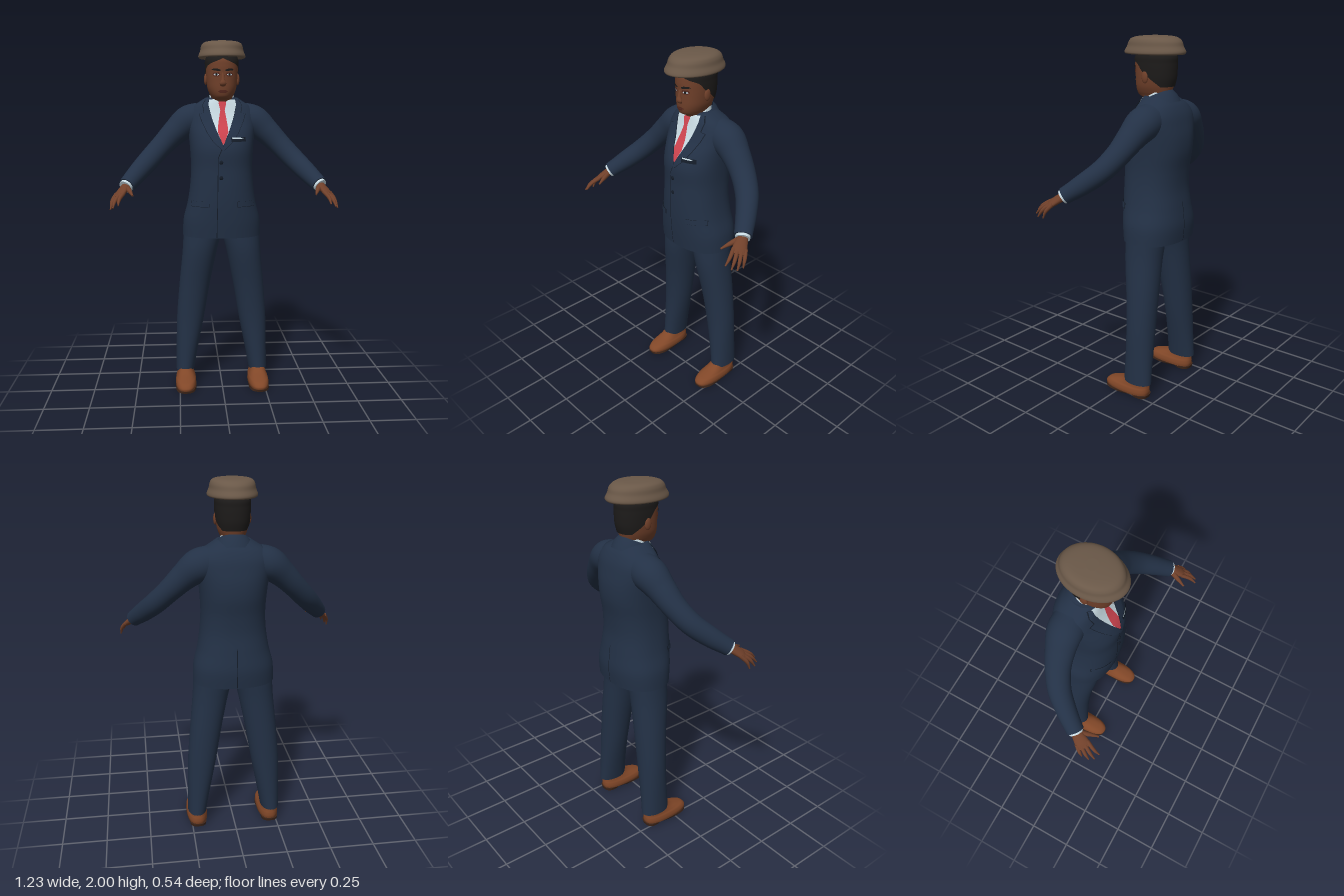
import * as THREE from 'three';

const V = (x, y, z) => new THREE.Vector3(x, y, z);
const mat = (name, color) => {
  const m = new THREE.MeshStandardMaterial({ color, side: THREE.DoubleSide });
  m.name = name;
  return m;
};

// Smooth interpolation through rows of numbers, t from 0 to 1
function sample(rows, t) {
  const k = rows.length - 1, f = Math.min(Math.max(t, 0), 1) * k;
  const i = Math.min(Math.floor(f), k - 1), w = f - i;
  const at = j => rows[Math.min(Math.max(j, 0), k)];
  return rows[0].map((_, c) => {
    const [a, b, d, e] = [at(i - 1)[c], at(i)[c], at(i + 1)[c], at(i + 2)[c]];
    return b + 0.5 * w * (d - a + w * (2 * a - 5 * b + 4 * d - e + w * (3 * (b - d) + e - a)));
  });
}

// Skin over rings { c, u, v }; half(t) limits the skin to an arc around the back
function loft(rings, n = 40, power = 2, half = null) {
  const pos = [], idx = [], last = rings.length - 1, cols = half ? n + 1 : n;
  const spow = a => Math.sign(a) * Math.pow(Math.abs(a), 2 / power);
  const flip = rings[last].c.clone().sub(rings[0].c).dot(rings[0].v.clone().cross(rings[0].u)) < 0;
  const tri = (a, b, c) => flip ? idx.push(a, c, b) : idx.push(a, b, c);
  const addRing = j => {
    const { c, u, v } = rings[j];
    for (let i = 0; i < cols; i++) {
      const a = half ? -Math.PI / 2 + half(j / last) * (2 * i / n - 1) : 2 * Math.PI * i / n;
      const p = c.clone().addScaledVector(u, spow(Math.cos(a))).addScaledVector(v, spow(Math.sin(a)));
      pos.push(p.x, p.y, p.z);
    }
  };
  rings.forEach((_, j) => addRing(j));
  for (let j = 0; j < last; j++) for (let i = 0; i < n; i++) {
    const a = j * cols + i, b = j * cols + (i + 1) % cols;
    tri(a, a + cols, b);
    tri(b, a + cols, b + cols);
  }
  if (!half) for (const j of [0, last]) {
    const base = pos.length / 3, { c } = rings[j];
    addRing(j);
    pos.push(c.x, c.y, c.z);
    for (let i = 0; i < n; i++) {
      const a = base + i, b = base + (i + 1) % n;
      j ? tri(a, base + n, b) : tri(a, b, base + n);
    }
  }
  return geometry(pos, idx);
}

function geometry(pos, idx) {
  const g = new THREE.BufferGeometry();
  g.setAttribute('position', new THREE.Float32BufferAttribute(pos, 3));
  g.setIndex(idx);
  g.computeVertexNormals();
  return g;
}

// Upright form from rows [y, centre x, half width, front z, back z]
function stack(rows, power = 2.2, steps = 6, half = null) {
  const rings = [], count = (rows.length - 1) * steps;
  for (let j = 0; j <= count; j++) {
    const [y, x, rx, zf, zb] = sample(rows, j / count);
    rings.push({ c: V(x, y, (zf + zb) / 2), u: V(rx, 0, 0), v: V(0, 0, (zf - zb) / 2) });
  }
  return loft(rings, 48, power, half);
}

// Limb along points with rows [radius along ref, radius across]
function limb(pts, radii, ref, n = 24, steps = 24) {
  const curve = new THREE.CatmullRomCurve3(pts), rings = [];
  for (let j = 0; j <= steps; j++) {
    const t = j / steps, dir = curve.getTangent(t), [a, b] = sample(radii, t);
    const u = ref.clone().addScaledVector(dir, -ref.dot(dir)).normalize();
    rings.push({ c: curve.getPoint(t), u: u.clone().multiplyScalar(a), v: dir.clone().cross(u).multiplyScalar(b) });
  }
  return loft(rings, n);
}

// Depth of a stacked form's front (side 1) or back (side -1) at x, y
function surfaceZ(rows, power, x, y, side) {
  let lo = 0, hi = 1;
  for (let i = 0; i < 30; i++) {
    const m = (lo + hi) / 2;
    sample(rows, m)[0] < y ? lo = m : hi = m;
  }
  const [, cx, rx, zf, zb] = sample(rows, lo);
  const k = Math.min(Math.abs(x - cx) / rx, 0.99);
  return (zf + zb) / 2 + side * (zf - zb) / 2 * Math.pow(1 - Math.pow(k, power), 1 / power);
}

// Thin piece draped over a stacked form, outline rows [y, x from, x to]
function drape(rows, form, power, offset, side = 1) {
  const pos = [], idx = [], steps = 8, across = 8, count = (rows.length - 1) * steps;
  for (let j = 0; j <= count; j++) {
    const k = Math.min(Math.floor(j / steps), rows.length - 2), w = j / steps - k;
    const [y, a, b] = rows[k].map((q, c) => q + (rows[k + 1][c] - q) * w);
    for (let i = 0; i <= across; i++) {
      const x = a + (b - a) * i / across, p = j * (across + 1) + i;
      pos.push(x, y, surfaceZ(form, power, x, y, side) + side * offset);
      if (j < count && i < across) idx.push(p, p + 1, p + across + 1, p + 1, p + across + 2, p + across + 1);
    }
  }
  return geometry(pos, idx);
}

const JACKET = [
  [0.905, 0, 0.225, 0.06, -0.262], [1.0, 0, 0.22, 0.072, -0.27], [1.1, 0, 0.196, 0.08, -0.26],
  [1.2, 0, 0.181, 0.082, -0.25], [1.3, 0, 0.175, 0.08, -0.255], [1.4, 0, 0.18, 0.082, -0.27],
  [1.48, 0, 0.188, 0.058, -0.27], [1.55, 0, 0.198, 0.02, -0.258], [1.6, 0, 0.195, -0.002, -0.245],
  [1.64, 0, 0.168, -0.015, -0.225], [1.665, 0, 0.13, -0.022, -0.205], [1.69, 0, 0.09, -0.03, -0.18]];
const HEAD = [
  [1.6, 0, 0.062, -0.03, -0.15], [1.67, 0, 0.06, -0.015, -0.155], [1.688, 0, 0.058, 0.022, -0.16],
  [1.71, 0, 0.069, 0.034, -0.168], [1.74, 0, 0.08, 0.038, -0.175], [1.78, 0, 0.086, 0.039, -0.185],
  [1.82, 0, 0.089, 0.04, -0.188], [1.86, 0, 0.09, 0.041, -0.188], [1.9, 0, 0.088, 0.033, -0.184],
  [1.95, 0, 0.06, -0.01, -0.14]];

export function createModel() {
  const model = new THREE.Group();
  model.name = 'suitedMan';
  const suit = mat('navy suit', 0x233146), seam = mat('dark seam', 0x141c28), skin = mat('skin', 0x70402a);
  const hair = mat('hair black', 0x1d1b1a), shirt = mat('shirt pale blue', 0xc8dae2), tie = mat('tie red', 0xcf444f);
  const leather = mat('shoe brown', 0x814728), sole = mat('sole dark brown', 0x3d2519);
  const felt = mat('hat taupe', 0x6a5848), lip = mat('lip brown', 0x57291f);
  const add = (name, geo, material) => {
    const m = new THREE.Mesh(geo, material);
    m.name = name;
    model.add(m);
    return m;
  };
  const blob = (name, material, p, s) => {
    const m = add(name, new THREE.SphereGeometry(1, 20, 14), material);
    m.position.set(...p);
    m.scale.set(...s);
  };
  const onJacket = (name, rows, m, off, side) => add(name, drape(rows, JACKET, 2.3, off, side), m);
  const onFace = (name, rows, m, off) => add(name, drape(rows, HEAD, 2.2, off), m);

  // Jacket, shirt front and tie
  add('jacket', stack(JACKET, 2.3), suit);
  onJacket('shirtFront', [[1.43, 0, 0], [1.5, -0.034, 0.034], [1.6, -0.068, 0.068], [1.65, -0.079, 0.079], [1.68, -0.075, 0.075]], shirt, 0.003);
  onJacket('tie', [[1.435, -0.004, 0.004], [1.5, -0.029, 0.029], [1.54, -0.026, 0.026], [1.622, -0.012, 0.012]], tie, 0.007);
  onJacket('tieKnot', [[1.62, -0.012, 0.012], [1.66, -0.022, 0.022], [1.667, -0.018, 0.018]], tie, 0.009);
  onJacket('frontOpening', [[0.91, -0.037, -0.033], [1.36, -0.03, -0.026], [1.42, -0.006, 0]], seam, 0.003);
  onJacket('backVent', [[0.91, -0.002, 0.002], [1.13, -0.002, 0.002]], seam, 0.003, -1);
  for (const y of [1.335, 1.25]) blob('button', seam, [-0.012, y, surfaceZ(JACKET, 2.3, 0, y, 1) + 0.003], [0.011, 0.011, 0.005]);
  onJacket('breastPocket', [[1.448, 0.045, 0.128], [1.472, 0.042, 0.125]], seam, 0.009);
  onJacket('pocketSquare', [[1.464, 0.05, 0.112], [1.471, 0.048, 0.095]], shirt, 0.0105);

  // Collars, tilted up at the back
  add('shirtCollar', loft([
    { c: V(0, 1.64, -0.09), u: V(0.08, 0, 0), v: V(0, -0.03, 0.075) },
    { c: V(0, 1.7, -0.09), u: V(0.067, 0, 0), v: V(0, -0.035, 0.069) }], 40), shirt);
  add('jacketCollar', loft([
    { c: V(0, 1.635, -0.105), u: V(0.115, 0, 0), v: V(0, -0.03, 0.108) },
    { c: V(0, 1.67, -0.1), u: V(0.095, 0, 0), v: V(0, -0.035, 0.092) },
    { c: V(0, 1.69, -0.093), u: V(0.078, 0, 0), v: V(0, -0.035, 0.077) }], 40, 2, () => 1.75), suit);

  // Head, face and hair
  add('headAndNeck', stack(HEAD, 2.2), skin);
  const scalp = HEAD.slice(4).map(([y, x, rx, f, b]) => [y, x, rx + 0.004, f + 0.004, b - 0.007]);
  const hairline = [[0.8], [1.35], [1.75], [2.1], [Math.PI], [Math.PI]];
  add('hair', stack(scalp, 2.2, 8, t => Math.min(sample(hairline, t)[0], Math.PI)), hair);
  add('nose', limb([V(0, 1.82, 0.034), V(0, 1.785, 0.042), V(0, 1.764, 0.044), V(0, 1.752, 0.034)],
    [[0.007, 0.008], [0.01, 0.01], [0.018, 0.012], [0.014, 0.006]], V(1, 0, 0)), skin);
  onFace('upperLip', [[1.722, -0.029, 0.029], [1.73, -0.012, 0.012]], lip, 0.004);
  onFace('lowerLip', [[1.721, -0.027, 0.027], [1.712, -0.014, 0.014]], lip, 0.005);

  for (const s of [1, -1]) {
    const side = s > 0 ? 'left' : 'right';
    const flipX = rows => rows.map(([y, a, b]) => [y, s * a, s * b]);

    // Eye, brow and ear
    onFace(side + 'EyeSocket', flipX([[1.802, 0.026, 0.046], [1.812, 0.014, 0.057], [1.824, 0.022, 0.05]]), lip, 0.002);
    onFace(side + 'EyeWhite', flipX([[1.807, 0.028, 0.044], [1.812, 0.021, 0.052], [1.818, 0.03, 0.044]]), shirt, 0.003);
    onFace(side + 'Iris', flipX([[1.806, 0.032, 0.04], [1.812, 0.03, 0.042], [1.819, 0.032, 0.04]]), hair, 0.004);
    onFace(side + 'Brow', flipX([[1.831, 0.013, 0.03], [1.837, 0.013, 0.062], [1.844, 0.03, 0.054]]), hair, 0.004);
    blob(side + 'Ear', skin, [s * 0.09, 1.79, -0.07], [0.01, 0.032, 0.02]);

    // Lapel with a dark edge, shirt collar point and hip pocket
    const lapel = [[1.4, -0.006, 0.002], [1.45, 0.01, 0.055], [1.5, 0.033, 0.087], [1.56, 0.055, 0.115],
      [1.6, 0.067, 0.128], [1.606, 0.068, 0.102], [1.65, 0.078, 0.108], [1.68, 0.074, 0.09]];
    onJacket(side + 'LapelEdge', flipX(lapel.map(([y, a, b]) => [y, a - 0.001, b + 0.003])), seam, 0.005);
    onJacket(side + 'Lapel', flipX(lapel), suit, 0.008);
    onJacket(side + 'CollarPoint', flipX([[1.605, 0.04, 0.045], [1.655, 0.012, 0.07], [1.68, 0.03, 0.068]]), shirt, 0.006);
    onJacket(side + 'PocketEdge', flipX([[1.084, 0.078, 0.18], [1.116, 0.076, 0.177]]), seam, 0.004);
    onJacket(side + 'PocketFlap', flipX([[1.087, 0.08, 0.179], [1.116, 0.078, 0.176]]), suit, 0.008);

    // Sleeve and cuff
    add(side + 'Sleeve', limb([V(s * 0.12, 1.575, -0.13), V(s * 0.19, 1.555, -0.128), V(s * 0.26, 1.5, -0.115), V(s * 0.335, 1.425, -0.092),
      V(s * 0.41, 1.345, -0.045), V(s * 0.475, 1.275, 0.03), V(s * 0.53, 1.215, 0.108)],
    [[0.09, 0.09], [0.09, 0.092], [0.074, 0.078], [0.063, 0.067], [0.059, 0.061], [0.054, 0.054], [0.045, 0.047]], V(0, 1, 0), 32, 48), suit);
    add(side + 'Cuff', limb([V(s * 0.52, 1.226, 0.094), V(s * 0.536, 1.208, 0.117)], [[0.04, 0.04], [0.038, 0.038]], V(0, 1, 0)), shirt);

    // Hand: palm, four fingers and thumb
    const wide = V(s * 0.042, -0.01, -0.045).normalize();
    add(side + 'Palm', limb([V(s * 0.528, 1.217, 0.105), V(s * 0.545, 1.197, 0.135), V(s * 0.564, 1.174, 0.168), V(s * 0.576, 1.16, 0.187)],
      [[0.026, 0.023], [0.033, 0.02], [0.038, 0.016], [0.033, 0.01]], wide), skin);
    const fingers = [[0.549, 1.17, 0.2, 0.565, 1.125, 0.268], [0.567, 1.165, 0.192, 0.594, 1.11, 0.255],
      [0.581, 1.162, 0.177, 0.609, 1.1, 0.228], [0.591, 1.162, 0.158, 0.611, 1.1, 0.188]];
    for (const [x, y, z, X, Y, Z] of fingers) add(side + 'Finger',
      limb([V(s * (x - 0.008), y + 0.012, z - 0.015), V(s * (x + X + 0.008) / 2, (y + Y) / 2 + 0.006, (z + Z) / 2), V(s * X, Y, Z)],
        [[0.011, 0.011], [0.0095, 0.0095], [0.004, 0.004]], wide, 12, 10), skin);
    add(side + 'Thumb', limb([V(s * 0.527, 1.205, 0.125), V(s * 0.508, 1.19, 0.178), V(s * 0.491, 1.173, 0.226)],
      [[0.017, 0.016], [0.012, 0.012], [0.005, 0.005]], V(0, 1, 0), 12, 12), skin);

    // Trouser leg and shoe
    const leg = [[0.085, 0.218, 0.054, -0.03, -0.205], [0.2, 0.207, 0.063, -0.034, -0.202], [0.4, 0.185, 0.08, -0.034, -0.2],
      [0.6, 0.16, 0.089, -0.018, -0.2], [0.8, 0.13, 0.099, 0.01, -0.2], [0.92, 0.112, 0.11, 0.014, -0.205], [1.0, 0.11, 0.11, 0.01, -0.2]];
    const place = rows => rows.map(([y, x, ...r]) => [y, s * x, ...r]);
    add(side + 'TrouserLeg', stack(place(leg), 2.1), suit);
    add(side + 'Shoe', stack(place([[0.012, 0.215, 0.057, 0.1, -0.185], [0.03, 0.215, 0.06, 0.104, -0.19], [0.05, 0.215, 0.057, 0.085, -0.19],
      [0.063, 0.215, 0.051, 0.05, -0.188], [0.08, 0.216, 0.046, 0, -0.185], [0.1, 0.217, 0.043, -0.03, -0.18], [0.13, 0.217, 0.04, -0.05, -0.17]]), 2.5), leather);
    add(side + 'Sole', stack([[0.004, s * 0.215, 0.059, 0.102, -0.1], [0.016, s * 0.215, 0.061, 0.105, -0.19]], 2.5), sole);
    add(side + 'Heel', stack([[0, s * 0.215, 0.047, -0.09, -0.188], [0.016, s * 0.215, 0.05, -0.085, -0.192]], 2.6), sole);
  }

  // Cap with a rolled brim
  add('hat', stack([[1.93, 0, 0.095, 0.06, -0.21], [1.906, 0, 0.118, 0.098, -0.232], [1.909, 0, 0.13, 0.11, -0.244],
    [1.922, 0, 0.13, 0.108, -0.245], [1.945, 0, 0.121, 0.093, -0.232], [1.97, 0, 0.116, 0.082, -0.222],
    [1.987, 0, 0.105, 0.06, -0.2], [1.996, 0, 0.08, 0.015, -0.165], [2, 0, 0.03, -0.04, -0.1]], 2), felt);
  return model;
}
